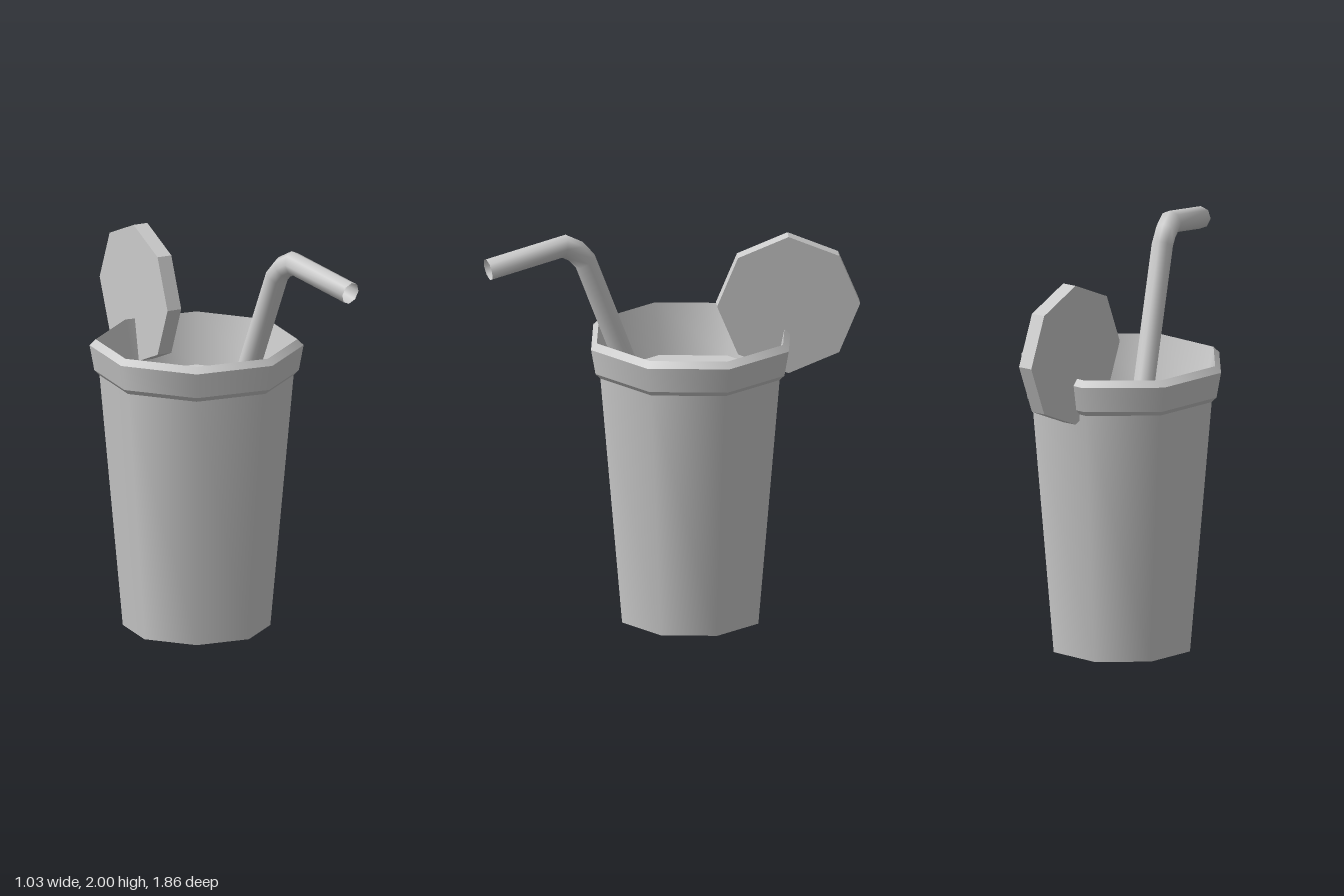
import * as THREE from 'three';

const CUP_Z = -0.125;
const SIDES = 8;

// One band per profile step: smooth around the cup, sharp between bands
function bands(name, profile, material) {
  const group = new THREE.Group();
  group.name = name;
  for (let i = 0; i < profile.length - 1; i++) {
    const points = [profile[i], profile[i + 1]].map(([r, y]) => new THREE.Vector2(r, y));
    const mesh = new THREE.Mesh(new THREE.LatheGeometry(points, SIDES), material);
    mesh.name = name + 'Band';
    group.add(mesh);
  }
  group.position.z = CUP_Z;
  return group;
}

// Tube with mitred rings along a path in the yz plane
function bentTube(path, radius, sides) {
  const pts = path.map(([z, y]) => new THREE.Vector2(z, y));
  const positions = [], index = [];
  pts.forEach((p, i) => {
    const before = p.clone().sub(pts[Math.max(i - 1, 0)]).normalize();
    const after = pts[Math.min(i + 1, pts.length - 1)].clone().sub(p).normalize();
    const dir = before.clone().add(after).normalize();
    const halfCos = dir.dot(i ? before : after);
    for (let j = 0; j < sides; j++) {
      const a = (j / sides) * Math.PI * 2;
      const n = (Math.sin(a) * radius) / halfCos;
      positions.push(Math.cos(a) * radius, p.y + dir.x * n, p.x - dir.y * n);
      if (i < pts.length - 1) {
        const k = i * sides + j, m = i * sides + ((j + 1) % sides);
        index.push(k, k + sides, m, m, k + sides, m + sides);
      }
    }
  });
  // wind the faces so that they look outwards
  for (let i = 0; i < index.length; i += 3) {
    [index[i + 1], index[i + 2]] = [index[i + 2], index[i + 1]];
  }
  const geometry = new THREE.BufferGeometry();
  geometry.setAttribute('position', new THREE.Float32BufferAttribute(positions, 3));
  geometry.setIndex(index);
  geometry.computeVertexNormals();
  return geometry;
}

export function createModel() {
  const model = new THREE.Group();
  model.name = 'drinkCup';
  const smooth = new THREE.MeshStandardMaterial({ color: 0xcccccc });
  const flat = new THREE.MeshStandardMaterial({ color: 0xcccccc, flatShading: true });
  const open = new THREE.MeshStandardMaterial({ color: 0xcccccc, side: THREE.DoubleSide });

  // Tapered cup, its rim and the drink's surface
  model.add(bands('cupBody', [[0, 0], [0.355, 0], [0.467, 1.25]], smooth));
  model.add(bands('rim', [[0.467, 1.25], [0.492, 1.275], [0.515, 1.4], [0.485, 1.43], [0.43, 1.18]], smooth));
  model.add(bands('drink', [[0.43, 1.18], [0, 1.18]], smooth));

  // Bent straw, open at its mouth
  const path = [[0.09, 1.0], [0.42, 1.855], [0.468, 1.91], [0.53, 1.943], [0.92, 1.87]];
  const straw = new THREE.Mesh(bentTube(path, 0.055, 8), open);
  straw.name = 'straw';
  model.add(straw);

  // Fruit slice pushed onto the rim
  const sliceGeometry = new THREE.CylinderGeometry(0.345, 0.345, 0.075, SIDES);
  sliceGeometry.rotateZ(Math.PI / 2);
  const slice = new THREE.Mesh(sliceGeometry, flat);
  slice.name = 'fruitSlice';
  slice.rotation.y = -0.294;
  slice.position.set(0.086, 1.55, -0.592);
  model.add(slice);

  return model;
}
